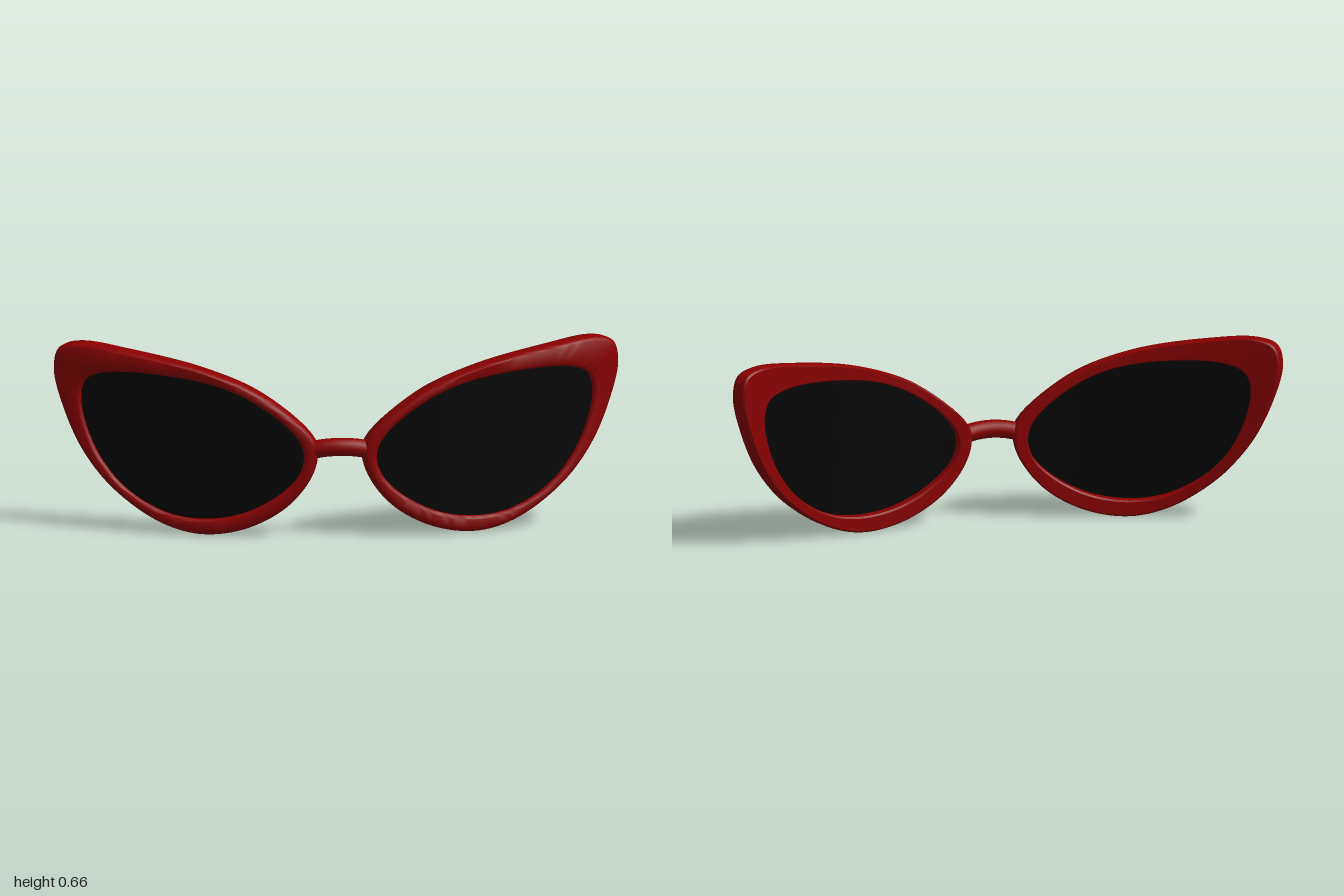
import * as THREE from 'three';
import { toCreasedNormals } from 'three/addons/utils/BufferGeometryUtils.js';

const SAMPLES = 112;
const RADIUS = 1.9; // wrap radius of the whole front
const FRONT_Z = 0.13; // mid-surface depth at the centre

// Matching points round the rim, clockwise from the bridge
const OUTER = [
  [0.09, 0.35], [0.275, 0.51], [0.49, 0.598], [0.757, 0.65], [0.917, 0.664], [0.98, 0.642],
  [0.998, 0.57], [0.966, 0.43], [0.9, 0.28], [0.797, 0.15], [0.64, 0.041], [0.495, 0.002],
  [0.34, 0.024], [0.197, 0.1], [0.11, 0.2], [0.08, 0.285],
];
const INNER = [
  [0.153, 0.358], [0.277, 0.466], [0.436, 0.541], [0.7, 0.575], [0.83, 0.565], [0.882, 0.54],
  [0.902, 0.49], [0.892, 0.396], [0.842, 0.27], [0.754, 0.16], [0.62, 0.081], [0.49, 0.06],
  [0.35, 0.082], [0.223, 0.148], [0.149, 0.222], [0.129, 0.29],
];

function sampleLoop(points) {
  const curve = new THREE.CatmullRomCurve3(
    points.map(([x, y]) => new THREE.Vector3(x, y, 0)), true, 'centripetal');
  return Array.from({ length: SAMPLES }, (_, i) => curve.getPoint(i / SAMPLES));
}

// Wraps a flat point onto the curved front, pushed out by offset
function wrap(p, offset, side) {
  const a = Math.asin(p.x / (RADIUS + 0.015));
  const r = RADIUS + offset;
  return [side * r * Math.sin(a), p.y, FRONT_Z - RADIUS + r * Math.cos(a)];
}

// Skins a strip of loops; closed also joins the last loop to the first
function skin(loops, closed, side) {
  const positions = [], index = [];
  const rows = loops.length;
  for (const loop of loops) for (const p of loop) positions.push(...p);
  for (let j = 0; j < (closed ? rows : rows - 1); j++) {
    for (let i = 0; i < SAMPLES; i++) {
      const i2 = (i + 1) % SAMPLES, j2 = (j + 1) % rows;
      const a = j * SAMPLES + i, b = j2 * SAMPLES + i;
      const c = j2 * SAMPLES + i2, d = j * SAMPLES + i2;
      if (side > 0) index.push(a, b, c, a, c, d);
      else index.push(a, c, b, a, d, c);
    }
  }
  const geometry = new THREE.BufferGeometry();
  geometry.setAttribute('position', new THREE.Float32BufferAttribute(positions, 3));
  geometry.setIndex(index);
  return toCreasedNormals(geometry, 0.68);
}

// Rim section: inset from the outer (+) or inner (-) edge, and depth offset
const RIM = [
  [1, 0.006, -0.034], [1, 0, -0.028], [1, 0, 0.006], [1, 0.002, 0.018], [1, 0.006, 0.026],
  [1, 0.011, 0.031], [1, 0.017, 0.034],
  [-1, 0.014, 0.034], [-1, 0.008, 0.032], [-1, 0.003, 0.028], [-1, 0, 0.021],
  [-1, 0, -0.028], [-1, 0.006, -0.034],
];

function rimGeometry(side) {
  const outer = sampleLoop(OUTER), inner = sampleLoop(INNER);
  const loops = RIM.map(([edge, inset, offset]) => outer.map((o, i) => {
    const t = inset / o.distanceTo(inner[i]);
    return wrap(o.clone().lerp(inner[i], edge > 0 ? t : 1 - t), offset, side);
  }));
  return skin(loops, true, side);
}

function lensGeometry(side) {
  const edge = sampleLoop(INNER);
  const centre = new THREE.Vector3(0.52, 0.33, 0);
  const ring = (scale, offset) =>
    edge.map((p) => wrap(centre.clone().lerp(p, scale), offset, side));
  const steps = [0, 0.2, 0.4, 0.6, 0.8, 1.01];
  const back = steps.map((s) => ring(s, 0.004));
  const front = steps.slice().reverse().map((s) => ring(s, 0.018));
  return skin([...back, ...front], false, side);
}

export function createModel() {
  const group = new THREE.Group();
  group.name = 'catEyeGlasses';

  const red = new THREE.MeshStandardMaterial({ color: 0x8b0000 });
  red.name = 'frameRed';
  const black = new THREE.MeshStandardMaterial({ color: 0x050505 });
  black.name = 'lensBlack';

  const add = (name, geometry, material) => {
    const mesh = new THREE.Mesh(geometry, material);
    mesh.name = name;
    group.add(mesh);
  };

  for (const [prefix, side] of [['left', 1], ['right', -1]]) {
    add(prefix + 'Rim', rimGeometry(side), red);
    add(prefix + 'Lens', lensGeometry(side), black);
  }

  // Arched bridge running into both rims
  const path = new THREE.CatmullRomCurve3([
    [-0.104, 0.312, 0.126], [-0.05, 0.322, 0.135], [0, 0.325, 0.139],
    [0.05, 0.322, 0.135], [0.104, 0.312, 0.126],
  ].map((p) => new THREE.Vector3(...p)));
  add('bridge', new THREE.TubeGeometry(path, 24, 0.032, 20), red);

  return group;
}
